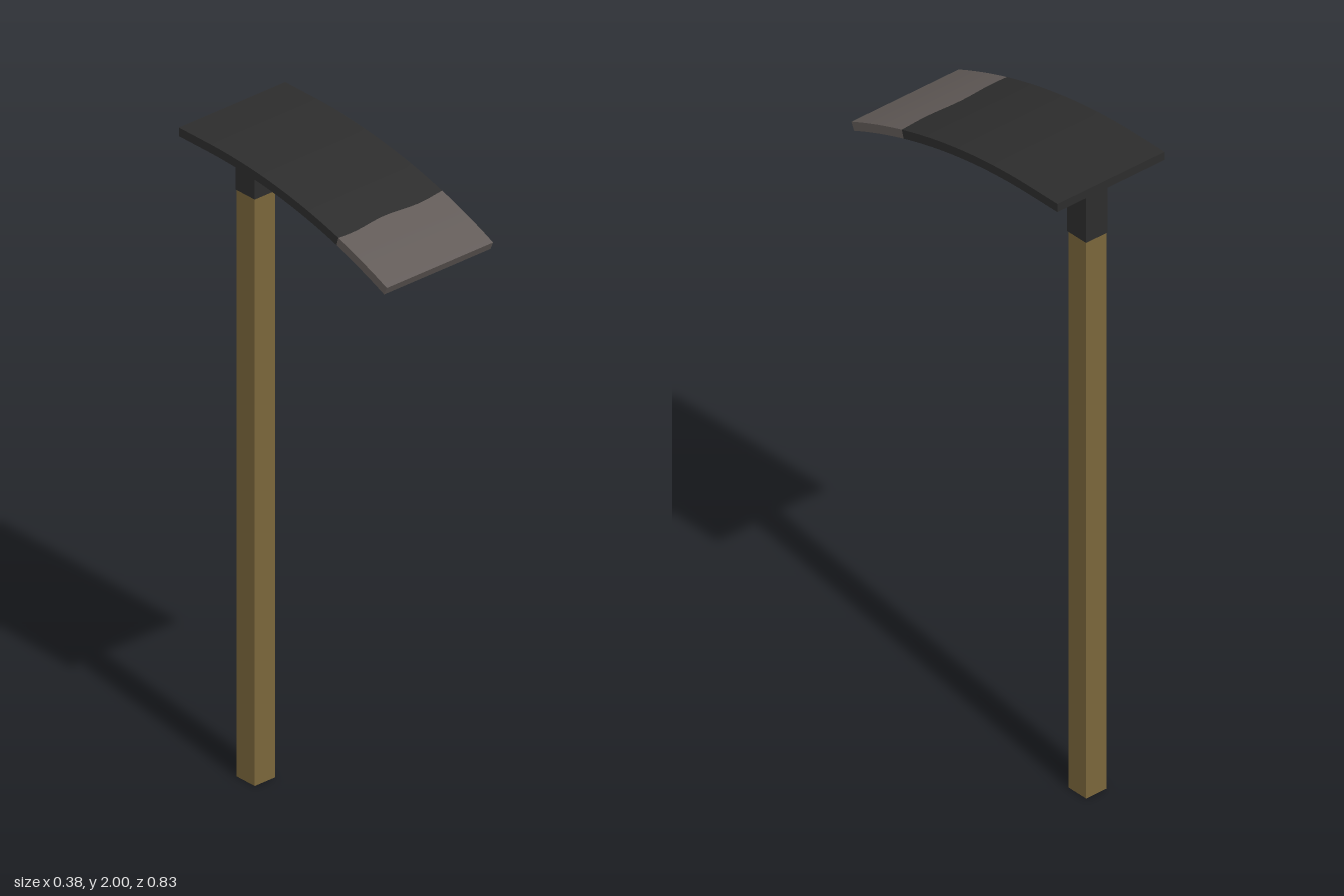
import * as THREE from 'three';
import { toCreasedNormals } from 'three/addons/utils/BufferGeometryUtils.js';

const WIDTH = 0.38, THICK = 0.026, HANDLE_Z = -0.32;

const material = (name, color) => {
  const m = new THREE.MeshStandardMaterial({ color });
  m.name = name;
  return m;
};

// Height of the blade's upper surface: flat at the back, curling down to the tip
const drop = (z) => {
  const u = Math.max(0, z + 0.3);
  return 2 - 0.28 * u ** 2 - 0.03 * u ** 4;
};
const slope = (z) => {
  const u = Math.max(0, z + 0.3);
  return 0.56 * u + 0.12 * u ** 3;
};

// Slightly wavy line where the dark steel meets the bare cutting edge
const wear = (x) => 0.217 - 0.01 * x + 0.004 * Math.cos(((x + 0.02) / 0.12) * Math.PI) * -1;

// Bends a box between two z limits, each a function of x, onto the curve
function bladePart(from, to, segments) {
  const g = new THREE.BoxGeometry(WIDTH, 1, 1, 16, 1, segments);
  const p = g.attributes.position;
  for (let i = 0; i < p.count; i++) {
    const x = p.getX(i);
    const z = THREE.MathUtils.lerp(from(x), to(x), p.getZ(i) + 0.5);
    const depth = p.getY(i) > 0 ? 0 : THICK;
    const s = slope(z), len = Math.hypot(1, s);
    p.setXYZ(i, x, drop(z) - depth / len, z - (depth * s) / len);
  }
  return toCreasedNormals(g, 0.6);
}

export function createModel() {
  const steel = material('darkSteel', 0x2d2d2d);
  const bare = material('bareSteel', 0x625b58);
  const wood = material('wood', 0x7a663b);
  const model = new THREE.Group();
  model.name = 'hoe';

  const add = (name, geometry, mat, y = 0, z = 0) => {
    const mesh = new THREE.Mesh(geometry, mat);
    mesh.name = name;
    mesh.position.set(0, y, z);
    model.add(mesh);
  };

  // Square handle and the steel collar that holds the blade
  add('handle', new THREE.BoxGeometry(0.072, 1.78, 0.072), wood, 0.89, HANDLE_Z);
  add('collar', new THREE.BoxGeometry(0.076, 0.205, 0.076), steel, 1.8825, HANDLE_Z);

  // Curved blade with its bare cutting edge
  add('blade', bladePart(() => -0.415, wear, 16), steel);
  add('cuttingEdge', bladePart(wear, () => 0.415, 6), bare);

  return model;
}
